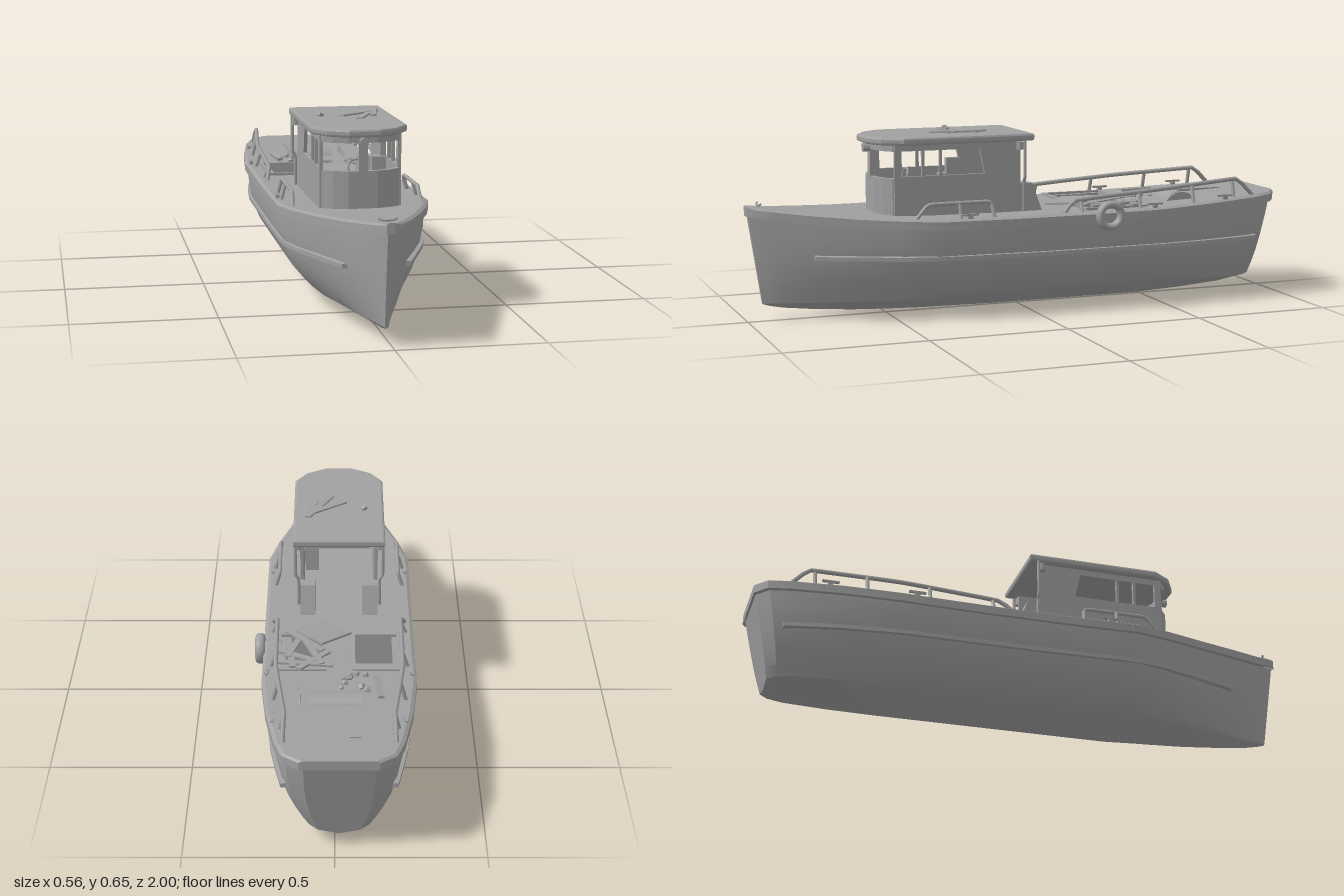
import * as THREE from 'three';
import { toCreasedNormals } from 'three/addons/utils/BufferGeometryUtils.js';

const grey = new THREE.MeshStandardMaterial({ color: 0xa0a0a0, side: THREE.DoubleSide });
grey.name = 'weathered grey';

// Stations from stern to bow: z, half width, deck height, z at chine, half width at chine, keel height
const STATIONS = [
  [-1, .13, .385, -.93, .07, .045], [-.96, .185, .383, -.9, .1, .03], [-.88, .212, .378, -.84, .12, .02],
  [-.7, .245, .37, -.68, .135, .008], [-.5, .265, .362, -.5, .14, 0], [-.43, .265, .36, -.43, .14, 0],
  [-.2, .265, .357, -.2, .14, 0], [.1, .265, .357, .1, .14, 0], [.37, .265, .36, .36, .14, .004],
  [.5, .23, .365, .48, .125, .008], [.65, .175, .373, .62, .09, .015], [.8, .115, .385, .77, .055, .028],
  [.91, .065, .396, .87, .025, .04], [.97, .04, .403, .92, .012, .05], [1, .012, .408, .945, .006, .058],
];
// Side curve between chine and deck: height fraction, width fraction
const CURVE = [[1, 1], [.77, .99], [.53, .87], [.3, .64], [.12, .28], [0, 0]];
const CHINE = .06, RIM = .035;
const lerp = THREE.MathUtils.lerp;

function stationAt(z) {
  let i = 0;
  while (i < STATIONS.length - 2 && STATIONS[i + 1][0] < z) i++;
  const a = STATIONS[i], b = STATIONS[i + 1], t = (z - a[0]) / (b[0] - a[0]);
  return a.map((v, k) => lerp(v, b[k], t));
}
const deckY = z => stationAt(z)[2];
const topHalf = hw => Math.max(hw - .015, hw * .6);
function hullHalf(z, y) {
  const [, hw, yd, , hc] = stationAt(z);
  const u = (y - CHINE) / (yd - RIM - CHINE);
  const i = CURVE.findIndex(c => c[0] <= u), a = CURVE[i], b = CURVE[i - 1];
  return lerp(hc, topHalf(hw), lerp(a[1], b[1], (u - a[0]) / (b[0] - a[0])));
}

// Skin a list of equal cross-sections and cap both ends
function loft(sections, { closed = false, skip = () => false, crease = .5 } = {}) {
  const n = sections[0].length, pos = sections.flat(2), idx = [];
  for (let i = 0; i < sections.length - 1; i++) {
    for (let k = 0; k < (closed ? n : n - 1); k++) {
      if (skip(i, k)) continue;
      const a = i * n + k, b = i * n + (k + 1) % n, c = a + n, d = b + n;
      idx.push(a, c, b, b, c, d);
    }
  }
  const last = (sections.length - 1) * n;
  for (let k = 1; k < n - 1; k++) idx.push(0, k, k + 1, last, last + k + 1, last + k);
  const g = new THREE.BufferGeometry();
  g.setAttribute('position', new THREE.Float32BufferAttribute(pos, 3));
  g.setIndex(idx);
  return toCreasedNormals(g, crease);
}

export function createModel() {
  const model = new THREE.Group();
  const boat = new THREE.Group();
  boat.name = 'boat';
  boat.position.x = -.015;
  model.add(boat);

  const add = (name, geo, x = 0, y = 0, z = 0, rx = 0, ry = 0, rz = 0) => {
    const m = new THREE.Mesh(geo, grey);
    m.name = name;
    m.position.set(x, y, z);
    m.rotation.set(rx, ry, rz);
    boat.add(m);
    return m;
  };
  const box = (name, w, h, d, ...place) => add(name, new THREE.BoxGeometry(w, h, d), ...place);
  const tube = (name, pts, r) => add(name, new THREE.TubeGeometry(
    new THREE.CatmullRomCurve3(pts.map(p => new THREE.Vector3(...p)), false, 'catmullrom', .15), 24, r, 8));
  const shapeOf = (pts, holes = []) => {
    const s = new THREE.Shape(pts.map(p => new THREE.Vector2(...p)));
    s.holes = holes.map(h => new THREE.Path(h.map(p => new THREE.Vector2(...p))));
    return s;
  };
  // Plan outline [x, z] raised from y
  const slab = (name, pts, y, h, bevel = 0) => add(name, new THREE.ExtrudeGeometry(
    shapeOf(pts.map(([x, z]) => [x, -z])),
    { depth: h, bevelEnabled: bevel > 0, bevelSize: bevel, bevelThickness: bevel, bevelSegments: 2 }).rotateX(-Math.PI / 2), 0, y, 0);
  // Side outline [z, y] widened along x
  const sidePanel = (name, pts, x, w, holes) => add(name, new THREE.ExtrudeGeometry(
    shapeOf(pts, holes), { depth: w, bevelEnabled: false }).rotateY(-Math.PI / 2), x + w / 2, 0, 0);
  const mirrored = half => [...half, ...half.map(([x, z]) => [-x, z]).reverse()];

  // Hull
  add('hull', loft(STATIONS.map(([z, hw, yd, zl, hc, yk]) => {
    const half = CURVE.map(([u, f]) => [lerp(hc, topHalf(hw), f), lerp(CHINE, yd - RIM, u), lerp(zl, z * .992, u)]);
    return [...half, [0, yk, zl], ...half.map(([x, y, zz]) => [-x, y, zz]).reverse()];
  })));

  // Deck with thick rim and two hatch openings
  add('deck', loft(STATIONS.map(([z, hw, y]) => {
    const half = [[hw * .8, y - RIM], [hw, y - RIM], [hw, y - .007], [hw - Math.min(.012, hw * .2), y],
      [Math.min(.21, hw * .7), y], [Math.min(.05, hw * .3), y]];
    return [...half.map(([x, h]) => [-x, h, z]), ...half.reverse().map(([x, h]) => [x, h, z])];
  }), { skip: (i, k) => i === 5 && (k === 4 || k === 6) }));

  for (const s of [-1, 1]) {
    // Rubbing strake along the hull side
    const zs = [.78, .7, .6, .5, .4, .3, 0, -.4, -.5, -.7, -.8, -.9].reverse();
    const strake = zs.map(z => {
      const y = .217 + .012 * Math.max(0, z), w = hullHalf(z, y);
      return [[w - .01, y + .01, z], [w + .011, y + .007, z], [w + .011, y - .007, z], [w - .02, y - .01, z]]
        .map(([x, h, d]) => [s * x, h, d]);
    });
    add('rubbing strake', loft(s > 0 ? strake : strake.map(p => p.reverse()), { closed: true }));

    // Hand rails and stanchions
    const rail = (z, y, inset) => [s * (stationAt(z)[1] - inset), y, z];
    tube('rear rail', [rail(-.1, .355, .03), rail(-.15, .398, .045), rail(-.5, .422, .05),
      rail(-.81, .44, .045), rail(-.83, .432, .04), rail(-.89, .37, .025)], .008);
    for (const [z, y] of [[-.17, .4], [-.4, .415], [-.62, .428], [-.8, .436]])
      tube('rear stanchion', [rail(z, .355, .028), rail(z, y, .048)], .007);
    tube('front rail', [rail(.45, .36, .02), rail(.41, .405, .035), rail(.39, .411, .038),
      rail(.19, .411, .045), rail(.17, .405, .045), rail(.165, .355, .03)], .007);
    tube('front stanchion', [rail(.29, .355, .025), rail(.29, .41, .04)], .006);

    // Mooring cleats
    for (const z of [.26, -.45, -.75]) {
      const x = s * (stationAt(z)[1] - .016), y = deckY(z);
      box('cleat foot', .012, .016, .018, x, y + .004, z);
      box('cleat bar', .009, .007, .06, x, y + .013, z);
    }

    // Open hatch well and coaming
    const hx = s * .13, hz = -.315, hy = .359;
    box('hatch floor', .16, .01, .23, hx, .24, hz);
    for (const e of [-1, 1]) {
      box('hatch side', .012, .135, .242, hx + e * .08, hy - .06, hz);
      box('hatch end', .172, .135, .012, hx, hy - .06, hz + e * .115);
    }

    // Cabin side with windows
    sidePanel('cabin side', [[.03, .35], [.5, .35], [.5, .615], [.03, .615]], s * .134, .012, [
      [[.4, .5], [.475, .5], [.475, .59], [.4, .59]],
      [[.335, .5], [.39, .5], [.39, .59], [.335, .59]],
      [[.165, .5], [.325, .5], [.325, .59], [.185, .59]],
    ]);
    sidePanel('aft locker', [[.05, .35], [-.055, .35], [-.015, .458], [.03, .458]], s * .112, .055);

    // Roof post and lamp
    tube('roof post', [[s * .158, .62, .02], [s * .158, .485, .02], [s * .147, .465, .02], [s * .147, .36, .02]], .006);
    add('side lamp', new THREE.CylinderGeometry(.013, .013, .028, 8), s * .148, .595, .035);
  }

  // Rounded cabin front, sill to deck and lintel
  const frontOuter = [[.14, .48], [.132, .505], [.1, .53], [.05, .55]];
  const frontWall = [...mirrored(frontOuter), ...mirrored(frontOuter.map(([x, z]) => [x * .92, z - .014])).reverse()];
  slab('cabin front', frontWall, .35, .145);
  slab('front lintel', frontWall, .59, .025);
  box('front mullion', .03, .12, .014, 0, .545, .545);
  add('front lamp', new THREE.CylinderGeometry(.016, .016, .025, 6), 0, .595, .562, Math.PI / 2);

  // Roof
  slab('roof', mirrored([[.157, -.005], [.157, .47], [.115, .535], [.05, .572]]), .62, .011, .008);

  // Helm
  box('dashboard', .24, .11, .07, 0, .41, .475);
  add('steering wheel', new THREE.TorusGeometry(.028, .004, 8, 24), 0, .487, .42, -.3);
  box('helm seat', .05, .15, .05, .1, .43, .3);
  box('seat back', .02, .13, .05, .118, .495, .28);

  // Bow cleat
  tube('bow cleat', [[-.03, .414, .95], [-.015, .409, .955], [.015, .409, .955], [.03, .414, .95]], .004);

  // Tyre fender hung on the left side
  const tyre = add('tyre fender', new THREE.TorusGeometry(.041, .0135, 12, 32), .277, .345, -.262, 0, Math.PI / 2);
  tyre.scale.z = 1.3;

  // Planks thrown over the left hatch: x, z, length, turn, tilt
  for (const [x, z, l, turn, tilt] of [[.12, -.4, .2, 1.45, .03], [.13, -.36, .17, 1.1, -.06], [.1, -.3, .24, .35, .04],
    [.15, -.27, .2, -.3, .05], [.12, -.25, .18, .8, -.04], [.17, -.33, .2, .1, .03], [.09, -.38, .16, -.7, .05]])
    box('loose plank', .022, .008, l, x, .37, z, tilt, turn, 0);
  box('loose panel', .14, .008, .14, .055, .374, -.2, .08, .75, .04);

  // Half-sunk drum, plate and rubble on the aft deck
  add('drum', new THREE.CylinderGeometry(.055, .055, .17, 20), .01, .335, -.62, 0, 0, Math.PI / 2);
  add('drum lid', new THREE.CylinderGeometry(.075, .075, .01, 20), .135, .32, -.61, 0, 0, Math.PI / 2);
  box('deck plate', .04, .008, .18, -.048, .376, -.77, 0, .03, 0);
  box('broken board', .02, .012, .13, -.135, .37, -.55, 0, .1, .2);
  for (let i = 0; i < 9; i++)
    add('rubble', new THREE.DodecahedronGeometry(.009 + .003 * (i % 3)),
      -.05 + .045 * Math.sin(i * 2.4), .366, -.51 + .055 * Math.cos(i * 1.7), i, i * 2, 0);

  // Debris on the roof
  box('roof plank', .022, .006, .19, .07, .645, .25, .03, -.45, .06);
  box('roof plank', .022, .006, .17, .045, .646, .235, 0, -.95, .08);
  box('roof plank', .02, .006, .14, .1, .648, .22, .04, -.2, .05);
  box('roof chip', .02, .012, .018, -.092, .643, .235, 0, .5, -.5);

  return model;
}
